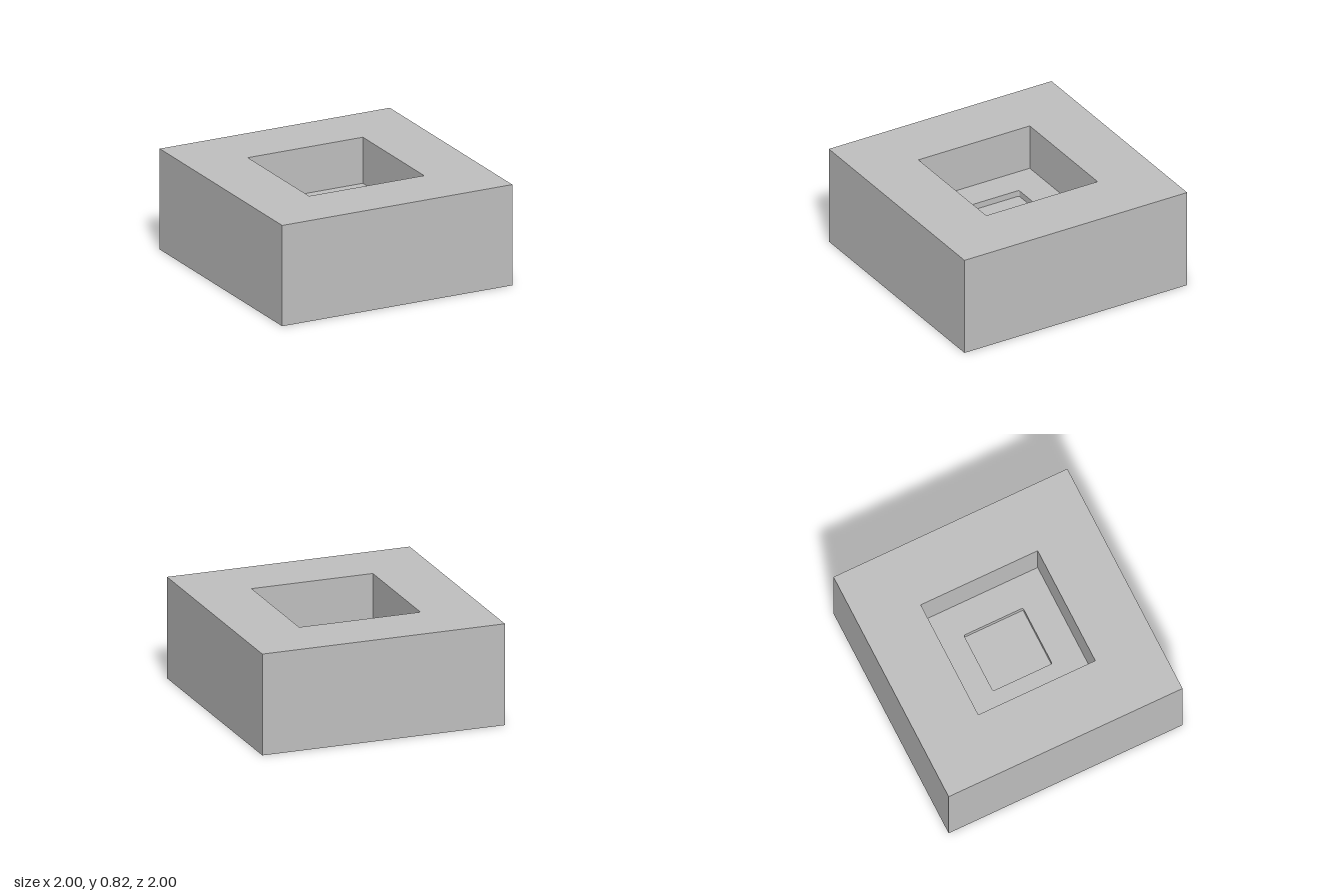
import * as THREE from 'three';

// Square outline with optionally rounded corners, counter-clockwise
function outline(half, radius = 0) {
  const points = [];
  const steps = radius ? 4 : 0;
  const c = half - radius;
  [[1, 1], [-1, 1], [-1, -1], [1, -1]].forEach(([sx, sy], corner) => {
    for (let i = 0; i <= steps; i++) {
      const a = (corner + (steps ? i / steps : 0)) * Math.PI / 2;
      points.push(new THREE.Vector2(sx * c + radius * Math.cos(a), sy * c + radius * Math.sin(a)));
    }
  });
  return points;
}

// Horizontal face, optionally with an opening
function plate(points, y, hole) {
  const shape = new THREE.Shape(points);
  if (hole) shape.holes.push(new THREE.Path(hole));
  return new THREE.ShapeGeometry(shape).rotateX(-Math.PI / 2).translate(0, y, 0);
}

// Vertical walls along an outline; inward walls face the middle
function walls(points, y0, y1, inward = false) {
  const loop = inward ? [...points].reverse() : points;
  const pos = [];
  loop.forEach((a, i) => {
    const b = loop[(i + 1) % loop.length];
    pos.push(a.x, y0, -a.y, b.x, y0, -b.y, b.x, y1, -b.y);
    pos.push(a.x, y0, -a.y, b.x, y1, -b.y, a.x, y1, -a.y);
  });
  const g = new THREE.BufferGeometry();
  g.setAttribute('position', new THREE.Float32BufferAttribute(pos, 3));
  g.computeVertexNormals();
  return g;
}

export function createModel() {
  const model = new THREE.Group();
  model.name = 'recessedBlock';
  const grey = new THREE.MeshStandardMaterial({ color: 0xc0c0c0 });
  grey.name = 'light grey';

  const add = (name, geometry) => {
    const mesh = new THREE.Mesh(geometry, grey);
    mesh.name = name;
    model.add(mesh);
  };

  const height = 0.82, pocketFloor = 0.445, recessFloor = 0.395;
  const block = outline(1);
  const pocket = outline(0.5);
  const recess = outline(0.253, 0.012);

  // Outer block
  add('base', plate(block, 0).rotateX(Math.PI));
  add('outerWalls', walls(block, 0, height));
  add('topRim', plate(block, height, pocket));

  // Square pocket
  add('pocketWalls', walls(pocket, pocketFloor, height, true));
  add('pocketFloor', plate(pocket, pocketFloor, recess));

  // Shallow central recess with slightly rounded corners
  add('recessWalls', walls(recess, recessFloor, pocketFloor, true));
  add('recessFloor', plate(recess, recessFloor));

  return model;
}
